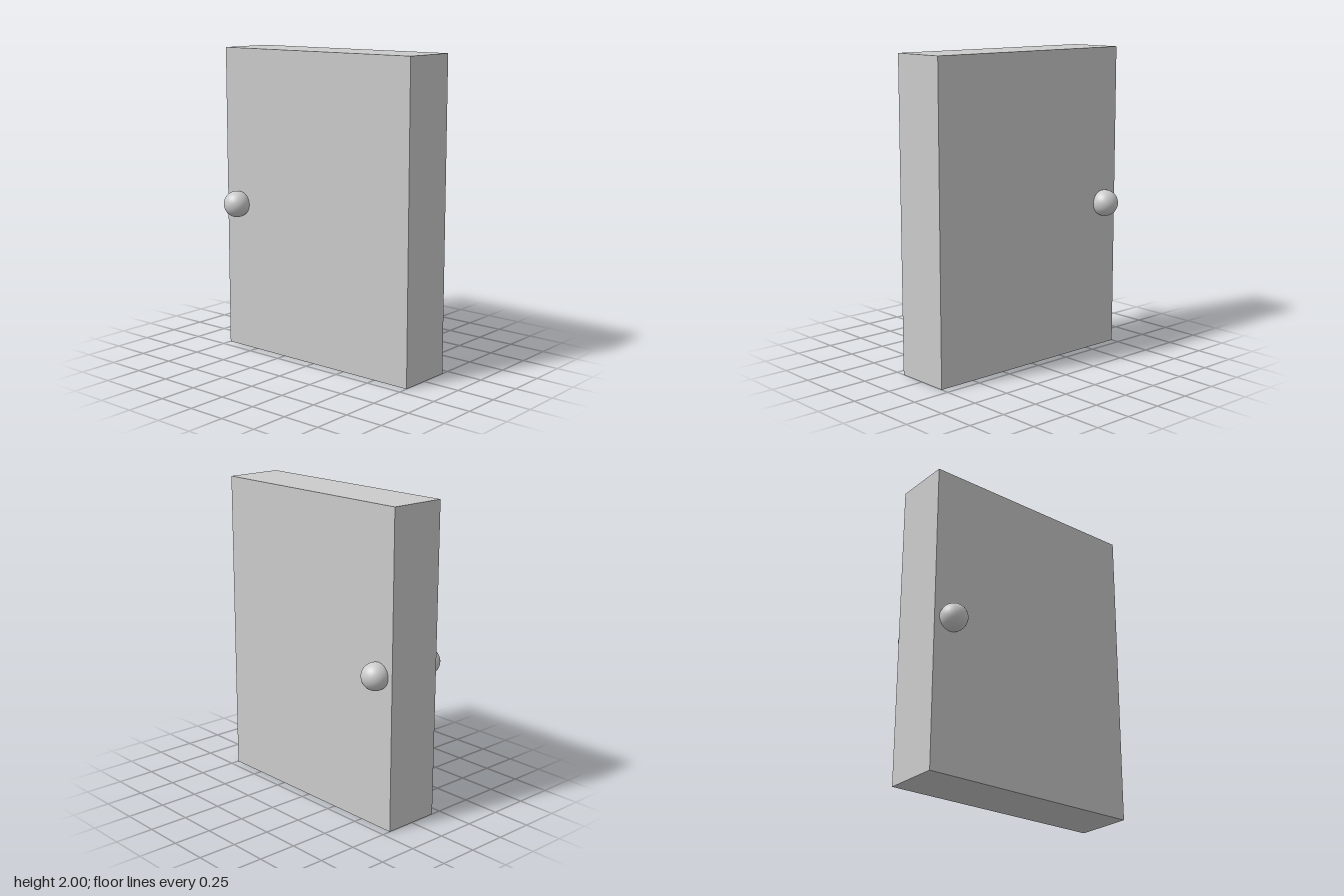
import * as THREE from 'three';

export function createModel() {
  const model = new THREE.Group();
  model.name = 'door';
  const material = new THREE.MeshStandardMaterial({ color: 0xcccccc });

  // Thick door slab, very slightly off centre between the knobs
  const slab = new THREE.Mesh(new THREE.BoxGeometry(0.375, 2, 1.5), material);
  slab.name = 'doorSlab';
  slab.position.set(0.005, 1, 0);
  model.add(slab);

  // Round knobs partly sunk into both faces, near the back edge
  const knobGeometry = new THREE.SphereGeometry(0.087, 32, 24);
  for (const [name, side] of [['leftKnob', 1], ['rightKnob', -1]]) {
    const knob = new THREE.Mesh(knobGeometry, material);
    knob.name = name;
    knob.position.set(side * 0.218, 0.976, -0.634);
    model.add(knob);
  }

  return model;
}
